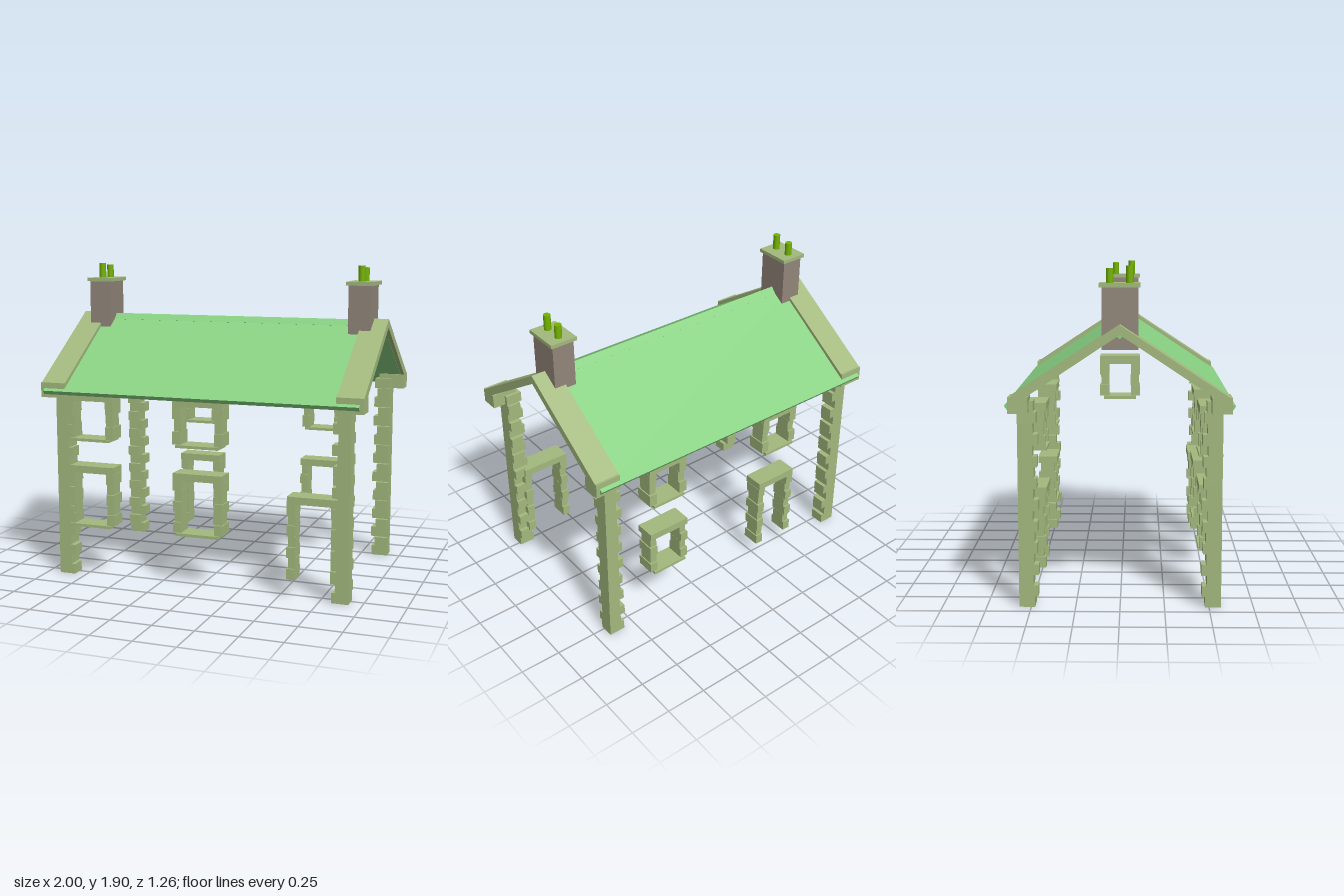
import * as THREE from 'three';

const flat = (name, color) => {
  const m = new THREE.MeshStandardMaterial({ color });
  m.name = name;
  return m;
};

export function createModel() {
  const stone = flat('pale stone', 0xa3b97e);
  const slate = flat('green roof', 0x88d182);
  const brick = flat('chimney brick', 0x92867a);
  const clay = flat('chimney pot green', 0x74b400);
  const model = new THREE.Group();
  model.name = 'cottageTrim';

  // Box given by its minimum and maximum corners
  const box = (parent, name, mat, x0, x1, y0, y1, z0, z1) => {
    const m = new THREE.Mesh(new THREE.BoxGeometry(x1 - x0, y1 - y0, z1 - z0), mat);
    m.position.set((x0 + x1) / 2, (y0 + y1) / 2, (z0 + z1) / 2);
    m.name = name;
    parent.add(m);
    return m;
  };

  // Outline in (z, y) extruded along x
  const extrudeX = (parent, name, mat, pts, x0, x1) => {
    const shape = new THREE.Shape(pts.map(([z, y]) => new THREE.Vector2(-z, y)));
    const g = new THREE.ExtrudeGeometry(shape, { depth: x1 - x0, bevelEnabled: false });
    g.rotateY(Math.PI / 2);
    g.translate(x0, 0, 0);
    const m = new THREE.Mesh(g, mat);
    m.name = name;
    parent.add(m);
    return m;
  };

  // Corner quoins: blocks alternately long in x and long in z
  for (const sx of [-1, 1]) for (const sz of [-1, 1]) {
    const post = new THREE.Group();
    post.name = 'cornerQuoins';
    const n = 19, h = 1.17 / n;
    for (let i = 0; i < n; i++) {
      const long = i % 2 === 0, jitter = 0.004 * ((i * 7) % 3 - 1);
      const lx = (long ? 0.105 : 0.078) + jitter, lz = (long ? 0.085 : 0.108) - jitter;
      const cx = sx * (0.922 - lx / 2), cz = sz * (0.567 - lz / 2);
      box(post, 'quoin', stone, cx - lx / 2, cx + lx / 2, i * h, (i + 1) * h, cz - lz / 2, cz + lz / 2);
    }
    model.add(post);
  }

  // Stone surround: block jambs, lintel and an optional sill, built facing +z
  const surround = (name, w, y0, y1, hasSill) => {
    const g = new THREE.Group();
    g.name = name;
    const bottom = hasSill ? y0 + 0.017 : y0, top = y1 - 0.044;
    const n = Math.max(3, Math.round((top - bottom) / 0.068)), h = (top - bottom) / n;
    box(g, 'lintel', stone, -w / 2, w / 2, top, y1, -0.064, 0.06);
    if (hasSill) box(g, 'sill', stone, -w / 2 + 0.02, w / 2 - 0.02, y0, bottom, -0.065, 0.07);
    for (const s of [-1, 1]) for (let i = 0; i < n; i++) {
      const odd = i % 2, c = s * (w / 2 - (odd ? 0.027 : 0.023)), hw = odd ? 0.022 : 0.025, d = odd ? 0.045 : 0.057;
      box(g, 'jambBlock', stone, c - hw, c + hw, bottom + i * h, bottom + (i + 1) * h, -d, d);
    }
    model.add(g);
    return g;
  };

  // Front wall openings
  for (const x of [-0.705, -0.003]) for (const [y0, y1] of [[0.31, 0.69], [0.845, 1.135]])
    surround('frontWindow', 0.31, y0, y1, true).position.set(x, 0, 0.505);
  surround('frontDoorway', 0.31, 0.11, 0.605, false).position.set(0.705, 0, 0.505);

  // Back wall openings
  for (const [x, y0, y1, w] of [[-0.378, 0.815, 1.1, 0.262], [0.478, 0.815, 1.1, 0.262], [0.473, 0.31, 0.617, 0.272]]) {
    const win = surround('backWindow', w, y0, y1, true);
    win.position.set(x, 0, -0.505);
    win.rotation.y = Math.PI;
  }
  const backDoor = surround('backDoorway', 0.28, 0.11, 0.597, false);
  backDoor.position.set(-0.378, 0, -0.505);
  backDoor.rotation.y = Math.PI;

  // Single attic window in one gable
  const attic = surround('gableWindow', 0.215, 1.185, 1.42, true);
  attic.position.set(-0.865, 0, 0);
  attic.rotation.y = -Math.PI / 2;

  // Roof slopes in one folded sheet, with a diamond ridge
  extrudeX(model, 'roof', slate, [
    [0, 1.57], [0.63, 1.152], [0.615, 1.13], [0, 1.538], [-0.615, 1.13], [-0.63, 1.152],
  ], -0.977, 0.977);
  extrudeX(model, 'ridge', slate, [[0, 1.585], [0.034, 1.548], [0, 1.515], [-0.034, 1.548]], -0.985, 0.985);

  for (const s of [-1, 1]) {
    const x0 = s > 0 ? 0.843 : -1, x1 = x0 + 0.157;
    // Gable coping and kneeler stones at the eaves
    extrudeX(model, 'gableCoping', stone, [
      [0, 1.592], [0.605, 1.195], [0.58, 1.155], [0, 1.54], [-0.58, 1.155], [-0.605, 1.195],
    ], x0, x1);
    for (const sz of [-1, 1])
      box(model, 'kneeler', stone, x0, x1, 1.11, 1.2, sz > 0 ? 0.5 : -0.61, sz > 0 ? 0.61 : -0.5);

    // Chimney with cap and two pots
    const cx = s * 0.845;
    const chimney = new THREE.Group();
    chimney.name = 'chimney';
    box(chimney, 'chimneyStack', brick, cx - 0.068, cx + 0.068, 1.45, 1.792, -0.1, 0.1);
    box(chimney, 'chimneyCap', stone, cx - 0.083, cx + 0.083, 1.79, 1.812, -0.114, 0.11);
    for (const [z, top] of [[0.053, 1.905], [-0.057, 1.892]]) {
      const pot = new THREE.Mesh(new THREE.CylinderGeometry(0.021, 0.021, top - 1.81, 16), clay);
      pot.name = 'chimneyPot';
      pot.position.set(cx, (top + 1.81) / 2, z);
      chimney.add(pot);
    }
    model.add(chimney);
  }
  return model;
}
